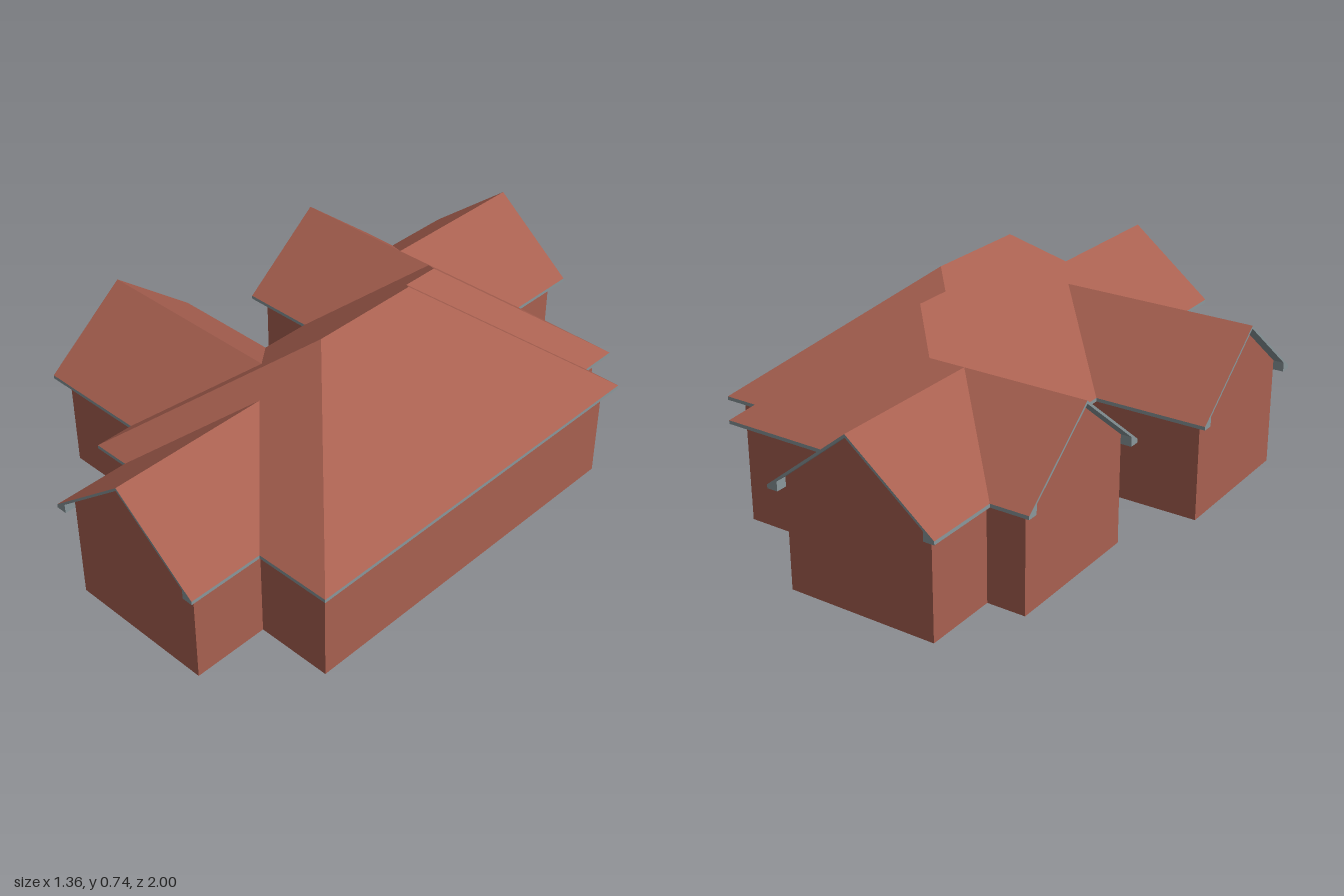
import * as THREE from 'three';

const EAVE = 0.347, SOFFIT = 0.335, PITCH = 0.8, OVERHANG = 0.037, RAKE = 0.01;

const brick = new THREE.MeshStandardMaterial({ color: 0xa86050, side: THREE.DoubleSide });
brick.name = 'brick red';
const trim = new THREE.MeshStandardMaterial({ color: 0x8a979b, side: THREE.DoubleSide });
trim.name = 'trim grey';

// Eave outline as [x, z], anticlockwise from the front gable seen from above
const OUTLINE = [
  [-0.165, 1], [0.42, 1], [0.42, 0.742], [0.678, 0.742], [0.678, -0.615],
  [0.55, -0.615], [0.55, -0.745], [0.165, -0.745], [0.165, -1], [-0.42, -1],
  [-0.42, -0.745], [-0.55, -0.745], [-0.55, -0.16], [-0.293, -0.16], [-0.293, 0.025],
  [-0.678, 0.025], [-0.678, 0.61], [-0.293, 0.61], [-0.293, 0.742], [-0.165, 0.742],
];
const GABLES = [0, 8, 11, 15]; // outline edges that end in a gable

// Roof slopes: distance in from the eave, then the plan polygon
const SLOPES = {
  mainRightSlope: [(x) => 0.678 - x, [[0.678, 0.742], [0.678, -0.615], [0.1925, -0.1295], [0.1925, 0.2565]]],
  mainFrontSlope: [(x, z) => 0.742 - z, [[-0.293, 0.742], [-0.165, 0.742], [0.1275, 0.4495],
    [0.42, 0.742], [0.678, 0.742], [0.1925, 0.2565]]],
  mainLeftSlope: [(x) => x + 0.293, [[-0.293, 0.742], [0.1925, 0.2565], [0.1925, -0.1295], [0.1285, -0.1935],
    [0.1285, -0.3235], [-0.0005, -0.4525], [-0.293, -0.16], [-0.293, 0.025], [-0.0005, 0.3175], [-0.293, 0.61]]],
  mainBackSlope: [(x, z) => z + 0.615, [[0.678, -0.615], [0.55, -0.615], [0.1285, -0.1935], [0.1925, -0.1295]]],
  lowerRightSlope: [(x) => 0.55 - x, [[0.55, -0.615], [0.55, -0.745], [0.1285, -0.3235], [0.1285, -0.1935]]],
  lowerBackSlope: [(x, z) => z + 0.745, [[0.55, -0.745], [0.1285, -0.3235], [-0.0005, -0.4525],
    [-0.1275, -0.4525], [0.165, -0.745]]],
  rearWingBackSlope: [(x, z) => z + 0.745, [[-0.1275, -0.4525], [-0.55, -0.4525], [-0.55, -0.745], [-0.42, -0.745]]],
  rearWingFrontSlope: [(x, z) => -0.16 - z, [[-0.55, -0.4525], [-0.0005, -0.4525], [-0.293, -0.16], [-0.55, -0.16]]],
  sideWingFrontSlope: [(x, z) => 0.61 - z, [[-0.678, 0.61], [-0.293, 0.61], [-0.0005, 0.3175], [-0.678, 0.3175]]],
  sideWingBackSlope: [(x, z) => z - 0.025, [[-0.678, 0.025], [-0.293, 0.025], [-0.0005, 0.3175], [-0.678, 0.3175]]],
  frontGableLeftSlope: [(x) => x + 0.165, [[-0.165, 1], [-0.165, 0.742], [0.1275, 0.4495], [0.1275, 1]]],
  frontGableRightSlope: [(x) => 0.42 - x, [[0.42, 1], [0.42, 0.742], [0.1275, 0.4495], [0.1275, 1]]],
  backGableLeftSlope: [(x) => x + 0.42, [[-0.42, -1], [-0.42, -0.745], [-0.1275, -0.4525], [-0.1275, -1]]],
  backGableRightSlope: [(x) => 0.165 - x, [[0.165, -1], [0.165, -0.745], [-0.1275, -0.4525], [-0.1275, -1]]],
};

// Roof face: a flat plan shape raised by its distance from the eave
function slopeMesh(name, rise, plan) {
  const geo = new THREE.ShapeGeometry(new THREE.Shape(plan.map(([x, z]) => new THREE.Vector2(x, -z))));
  geo.rotateX(-Math.PI / 2);
  const p = geo.attributes.position;
  for (let i = 0; i < p.count; i++) p.setY(i, EAVE + PITCH * rise(p.getX(i), p.getZ(i)));
  geo.computeVertexNormals();
  const mesh = new THREE.Mesh(geo, brick);
  mesh.name = name;
  return mesh;
}

// Mesh of flat convex polygons
function polygonMesh(name, material, polygons) {
  const pos = [];
  for (const poly of polygons)
    for (let i = 1; i < poly.length - 1; i++) pos.push(...poly[0], ...poly[i], ...poly[i + 1]);
  const geo = new THREE.BufferGeometry();
  geo.setAttribute('position', new THREE.Float32BufferAttribute(pos, 3));
  geo.computeVertexNormals();
  const mesh = new THREE.Mesh(geo, material);
  mesh.name = name;
  return mesh;
}

export function createModel() {
  const model = new THREE.Group();
  model.name = 'house';

  const roof = new THREE.Group();
  roof.name = 'roof';
  for (const [name, [rise, plan]] of Object.entries(SLOPES)) roof.add(slopeMesh(name, rise, plan));
  model.add(roof);

  const n = OUTLINE.length;
  const at = (i) => OUTLINE[(i + n) % n];
  const isGable = (i) => GABLES.includes((i + n) % n);
  const inward = (i) => {
    const a = at(i), b = at(i + 1), dx = b[0] - a[0], dz = b[1] - a[1], l = Math.hypot(dx, dz);
    return [dz / l * OVERHANG, -dx / l * OVERHANG];
  };
  const add = (a, b) => [a[0] + b[0], a[1] + b[1]];
  const corner = (i) => add(add(at(i), inward(i)), inward(i - 1)); // wall corner
  const up = (p, y) => [p[0], y, p[1]];
  const wallTop = EAVE + PITCH * OVERHANG;

  const walls = [], fascia = [], soffit = [], rakes = [];
  for (let i = 0; i < n; i++) {
    const a = at(i), b = at(i + 1), wa = corner(i), wb = corner(i + 1), inn = inward(i);
    const wall = [up(wa, 0), up(wb, 0), up(wb, wallTop), up(wa, wallTop)];
    if (isGable(i)) {
      // Gable wall with its peak, and the thin overhanging roof edge
      const mid = [(a[0] + b[0]) / 2, (a[1] + b[1]) / 2];
      const peak = EAVE + PITCH * Math.hypot(b[0] - a[0], b[1] - a[1]) / 2;
      wall.splice(3, 0, up(add(mid, inn), peak));
      for (const [e, f] of [[a, mid], [mid, b]]) {
        const ye = e === mid ? peak : EAVE, yf = f === mid ? peak : EAVE;
        rakes.push([up(e, ye - RAKE), up(f, yf - RAKE), up(f, yf), up(e, ye)]);
        rakes.push([up(add(e, inn), ye - RAKE), up(add(f, inn), yf - RAKE), up(f, yf - RAKE), up(e, ye - RAKE)]);
      }
    } else {
      // Boxed eave, run out to the roof edge where it meets a gable
      const ia = isGable(i - 1) ? add(a, inn) : wa, ib = isGable(i + 1) ? add(b, inn) : wb;
      fascia.push([up(a, SOFFIT), up(b, SOFFIT), up(b, EAVE), up(a, EAVE)]);
      soffit.push([up(ia, SOFFIT), up(ib, SOFFIT), up(b, SOFFIT), up(a, SOFFIT)]);
      for (const [e, inner, w, flip] of [[a, ia, wa, false], [b, ib, wb, true]]) {
        if (inner === w) continue;
        const cap = [up(inner, SOFFIT), up(e, SOFFIT), up(e, EAVE), up(inner, wallTop)];
        const side = [up(w, SOFFIT), up(inner, SOFFIT), up(inner, wallTop), up(w, wallTop)];
        for (const face of [cap, side]) soffit.push(flip ? face.reverse() : face);
      }
    }
    walls.push(wall);
  }
  model.add(
    polygonMesh('walls', brick, walls),
    polygonMesh('fascia', trim, fascia),
    polygonMesh('soffit', trim, soffit),
    polygonMesh('gableEdges', trim, rakes),
  );
  return model;
}
